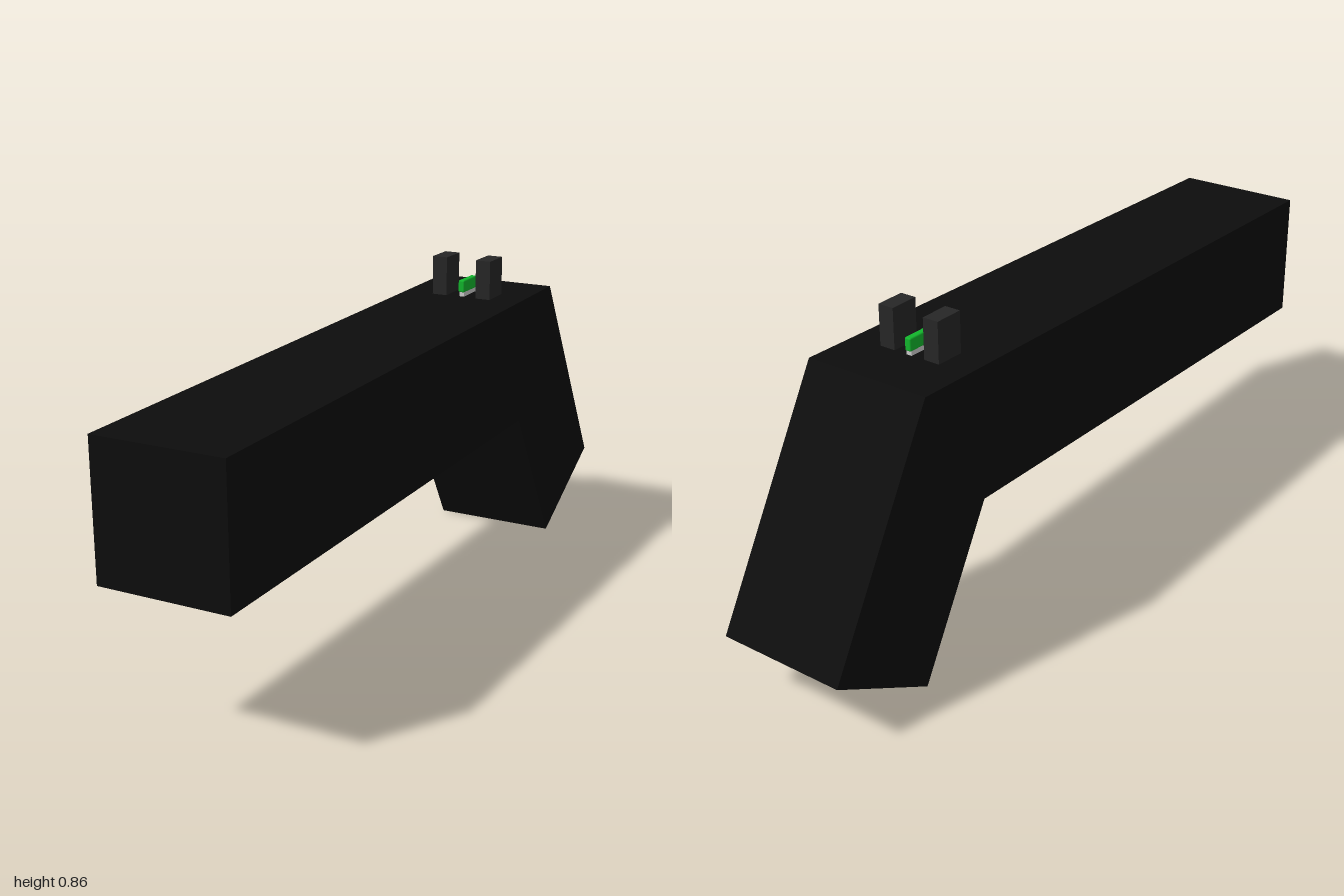
import * as THREE from 'three';
import { RoundedBoxGeometry } from 'three/addons/geometries/RoundedBoxGeometry.js';

const paint = (color) => new THREE.MeshStandardMaterial({ color });

function addPart(group, name, geometry, material, x, y, z) {
  const mesh = new THREE.Mesh(geometry, material);
  mesh.name = name;
  mesh.position.set(x, y, z);
  group.add(mesh);
  return mesh;
}

export function createModel() {
  const model = new THREE.Group();
  model.name = 'model';
  const black = paint(0x0d0d0d);
  const charcoal = paint(0x262626);
  const green = paint(0x12b52c);
  const grey = paint(0xcccccc);

  // Barrel and slanted grip share one bent side profile, given as (z, y)
  const profile = new THREE.Shape([
    [1, 0.722], [1, 0.379], [-0.47, 0.404], [-0.7, 0], [-1, 0.172], [-0.67, 0.752],
  ].map(([z, y]) => new THREE.Vector2(z, y)));
  const width = 0.344;
  const body = new THREE.ExtrudeGeometry(profile, { depth: width, bevelEnabled: false });
  body.translate(0, 0, -width / 2);
  body.rotateY(-Math.PI / 2);
  addPart(model, 'body', body, black, 0, 0, 0);

  // Pair of rear sight posts, sunk slightly into the top
  const post = new THREE.BoxGeometry(0.043, 0.115, 0.08);
  for (const side of [-1, 1]) {
    addPart(model, side > 0 ? 'leftSightPost' : 'rightSightPost', post, charcoal, side * 0.066, 0.7975, -0.48);
  }

  // Bright marker between the posts on a small base
  addPart(model, 'markerBase', new THREE.BoxGeometry(0.015, 0.025, 0.075), grey, 0, 0.752, -0.483);
  addPart(model, 'marker', new RoundedBoxGeometry(0.018, 0.034, 0.084, 2, 0.004), green, 0, 0.777, -0.483);

  return model;
}
